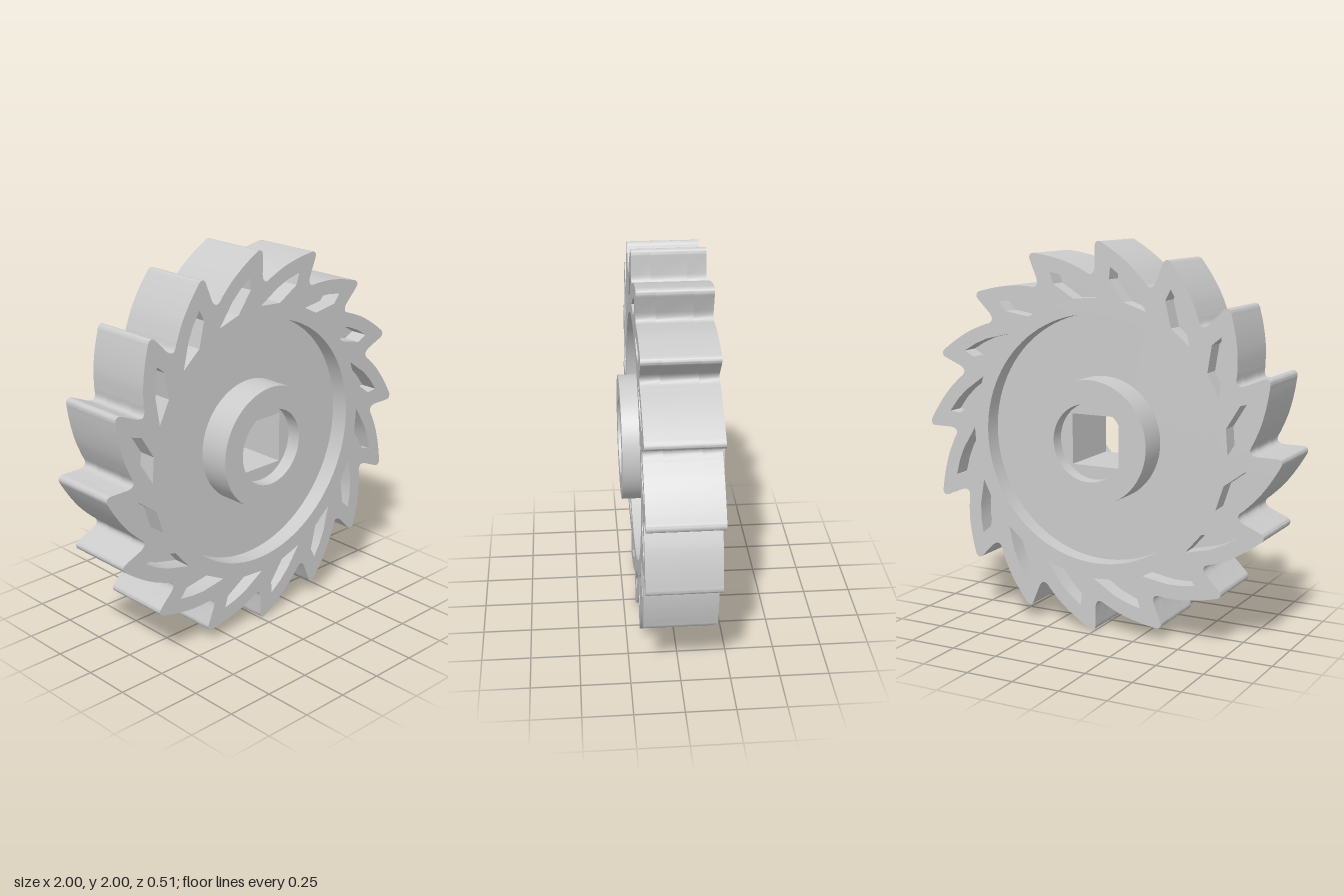
import * as THREE from 'three';
import { toCreasedNormals } from 'three/addons/utils/BufferGeometryUtils.js';

const TEETH = 16;
const STEP = (Math.PI * 2) / TEETH;
const WEB = 0.09, RIM = 0.184, HUB = 0.255, SEAT = 0.18; // half thicknesses
const RIM_R = 0.64, HUB_R = 0.32, BORE_R = 0.2, SQUARE = 0.131;

const material = new THREE.MeshStandardMaterial({ color: 0xcccccc });

// Point of tooth i, given in the frame where its tip is at the top
function turned(x, y, i) {
  return new THREE.Vector2(x, y).rotateAround(new THREE.Vector2(), -i * STEP);
}

// Swept saw-tooth outline: convex back, rounded tip, radial face, filleted root
function toothedOutline() {
  const path = new THREE.Path();
  const start = turned(-0.27, 0.812, 0);
  path.moveTo(start.x, start.y);
  for (let i = 0; i < TEETH; i++) {
    const p = (x, y) => turned(x, y, i);
    path.splineThru([p(-0.21, 0.874), p(-0.15, 0.923), p(-0.09, 0.964), p(-0.045, 0.991)]);
    const c1 = p(-0.034, 0.999), tip = p(-0.023, 1.0), c2 = p(0, 1.0), face = p(0, 0.972);
    path.quadraticCurveTo(c1.x, c1.y, tip.x, tip.y);
    path.quadraticCurveTo(c2.x, c2.y, face.x, face.y);
    const root = p(0, 0.875), c3 = p(0.006, 0.815), next = turned(-0.27, 0.812, i + 1);
    path.lineTo(root.x, root.y);
    path.quadraticCurveTo(c3.x, c3.y, next.x, next.y);
  }
  // Counter-clockwise, so that the walls of the holes face the right way
  return new THREE.Shape(path.getPoints(6).reverse());
}

// Leaf-shaped pocket behind each tooth
function pocket(i) {
  const pts = [[-0.086, 0.877], [-0.08, 0.815], [-0.16, 0.705],
    [-0.285, 0.664], [-0.205, 0.775], [-0.15, 0.829]];
  return new THREE.Path(pts.map(([x, y]) => turned(x, y, i)));
}

function circle(r, Type = THREE.Path) {
  return new Type().absarc(0, 0, r, 0, Math.PI * 2, false);
}

function squareHole() {
  const a = SQUARE;
  return new THREE.Path([[-a, -a], [-a, a], [a, a], [a, -a]].map(([x, y]) => new THREE.Vector2(x, y)));
}

// Extrude a shape with holes from z0 to z1
function plate(name, shape, holes, z0, z1) {
  shape.holes.push(...holes);
  const geo = new THREE.ExtrudeGeometry(shape, { depth: z1 - z0, bevelEnabled: false, curveSegments: 48 });
  geo.translate(0, 0, z0);
  const mesh = new THREE.Mesh(toCreasedNormals(geo, 0.6), material);
  mesh.name = name;
  return mesh;
}

export function createModel() {
  const wheel = new THREE.Group();
  wheel.name = 'ratchetWheel';

  // Central web, which is also the floor of the pockets
  wheel.add(plate('web', toothedOutline(), [squareHole()], -WEB, WEB));

  const pockets = () => Array.from({ length: TEETH }, (_, i) => pocket(i));
  for (const [side, sign] of [['front', 1], ['back', -1]]) {
    const layer = (part, shape, holes, depth) => {
      const [z0, z1] = [sign * WEB, sign * depth].sort((a, b) => a - b);
      wheel.add(plate(side + part, shape, holes, z0, z1));
    };
    // Raised toothed rim, hub collar and the square-holed seat inside the bore
    layer('Rim', toothedOutline(), [circle(RIM_R), ...pockets()], RIM);
    layer('Hub', circle(HUB_R, THREE.Shape), [circle(BORE_R)], HUB);
    layer('BoreSeat', circle(BORE_R, THREE.Shape), [squareHole()], SEAT);
  }

  wheel.position.y = 1;
  const model = new THREE.Group();
  model.add(wheel);
  return model;
}
